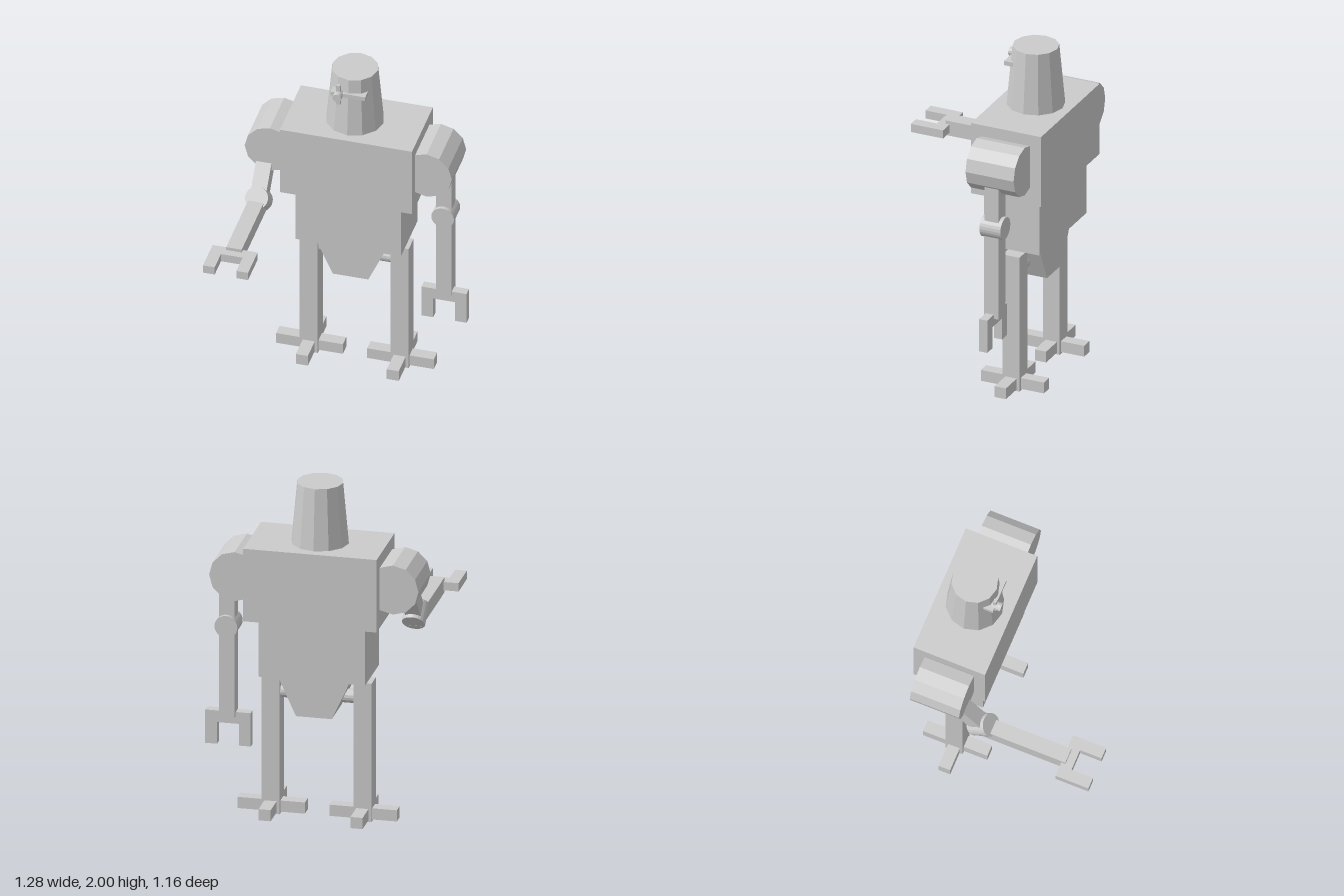
import * as THREE from 'three';

const material = new THREE.MeshStandardMaterial({ color: 0xcccccc, flatShading: true });
const Z = -0.363; // depth of the body's middle plane

function add(parent, name, geometry, x, y, z) {
  const mesh = new THREE.Mesh(geometry, material);
  mesh.name = name;
  mesh.position.set(x, y, z);
  parent.add(mesh);
  return mesh;
}

const box = (w, h, d) => new THREE.BoxGeometry(w, h, d);
const rod = (r, length, sides) => new THREE.CylinderGeometry(r, r, length, sides);
const rodZ = (r, length, sides) => rod(r, length, sides).rotateX(Math.PI / 2);

// Extrude an outline in XY, centred on z = 0
function slab(points, depth) {
  const shape = new THREE.Shape(points.map(([x, y]) => new THREE.Vector2(x, y)));
  return new THREE.ExtrudeGeometry(shape, { depth, bevelEnabled: false }).translate(0, 0, -depth / 2);
}

// Forked gripper pointing down, top edge at y = 0
function clawGeometry() {
  return slab([
    [-0.131, 0], [-0.131, -0.2], [-0.063, -0.2], [-0.063, -0.07],
    [0.063, -0.07], [0.063, -0.2], [0.131, -0.2], [0.131, 0],
  ], 0.05);
}

// Arm with its origin at the elbow; the upper arm and the forearm swing separately
function makeArm(name, upperTilt, foreTilt) {
  const arm = new THREE.Group();
  arm.name = name;
  const upper = new THREE.Group();
  upper.name = 'upperArmJoint';
  upper.rotation.x = upperTilt;
  add(upper, 'upperArm', box(0.09, 0.257, 0.088), 0, 0.128, 0);
  add(upper, 'elbow', rodZ(0.066, 0.13, 24), 0, 0, 0);
  const fore = new THREE.Group();
  fore.name = 'forearmJoint';
  fore.rotation.x = foreTilt;
  add(fore, 'forearm', box(0.09, 0.55, 0.09), 0, -0.275, 0);
  add(fore, 'claw', clawGeometry(), 0, -0.525, 0.01);
  arm.add(upper, fore);
  return arm;
}

export function createModel() {
  const model = new THREE.Group();
  model.name = 'robot';

  // Torso
  add(model, 'chest', box(0.768, 0.435, 0.433), -0.019, 1.4225, Z);
  add(model, 'waist', box(0.613, 0.343, 0.343), -0.019, 1.034, Z);
  add(model, 'pelvis', slab([[-0.211, 0.863], [-0.103, 0.625], [0.103, 0.625], [0.211, 0.863]], 0.243),
    -0.019, 0, Z);
  add(model, 'hipRod', rod(0.04, 0.44, 16).rotateZ(Math.PI / 2), -0.018, 0.728, Z);

  // Head and face
  add(model, 'head', new THREE.CylinderGeometry(0.132, 0.165, 0.36, 12), -0.027, 1.82, Z);
  add(model, 'visorBar', box(0.202, 0.026, 0.062), -0.027, 1.9, -0.244);
  add(model, 'visorUpright', box(0.022, 0.13, 0.018), -0.082, 1.901, -0.217);
  add(model, 'eye', rodZ(0.026, 0.055, 12), -0.082, 1.9, -0.205);

  // Shoulders
  for (const [name, x] of [['rightShoulder', -0.48], ['leftShoulder', 0.431]]) {
    add(model, name, rodZ(0.147, 0.298, 12), x, 1.441, -0.361);
  }

  // Left arm hangs, right arm reaches forward
  const leftArm = makeArm('leftArm', 0, 0);
  leftArm.position.set(0.502, 1.1, -0.358);
  const rightArm = makeArm('rightArm', -0.7, 0);
  rightArm.position.set(-0.516, 1.158, -0.113);
  const reach = rightArm.getObjectByName('forearmJoint');
  reach.rotation.x = -Math.PI / 2;
  reach.position.set(0, -0.019, -0.032);
  reach.getObjectByName('claw').position.z = 0;
  model.add(leftArm, rightArm);

  // Legs with cross-shaped feet
  for (const [side, x] of [['right', -0.282], ['left', 0.247]]) {
    const leg = new THREE.Group();
    leg.name = side + 'Leg';
    add(leg, 'shin', box(0.105, 0.83, 0.104), x, 0.415, Z);
    add(leg, 'footSideways', box(0.388, 0.067, 0.07), x, 0.0435, Z);
    add(leg, 'footLengthways', box(0.07, 0.067, 0.39), x, 0.0435, Z);
    model.add(leg);
  }

  return model;
}
